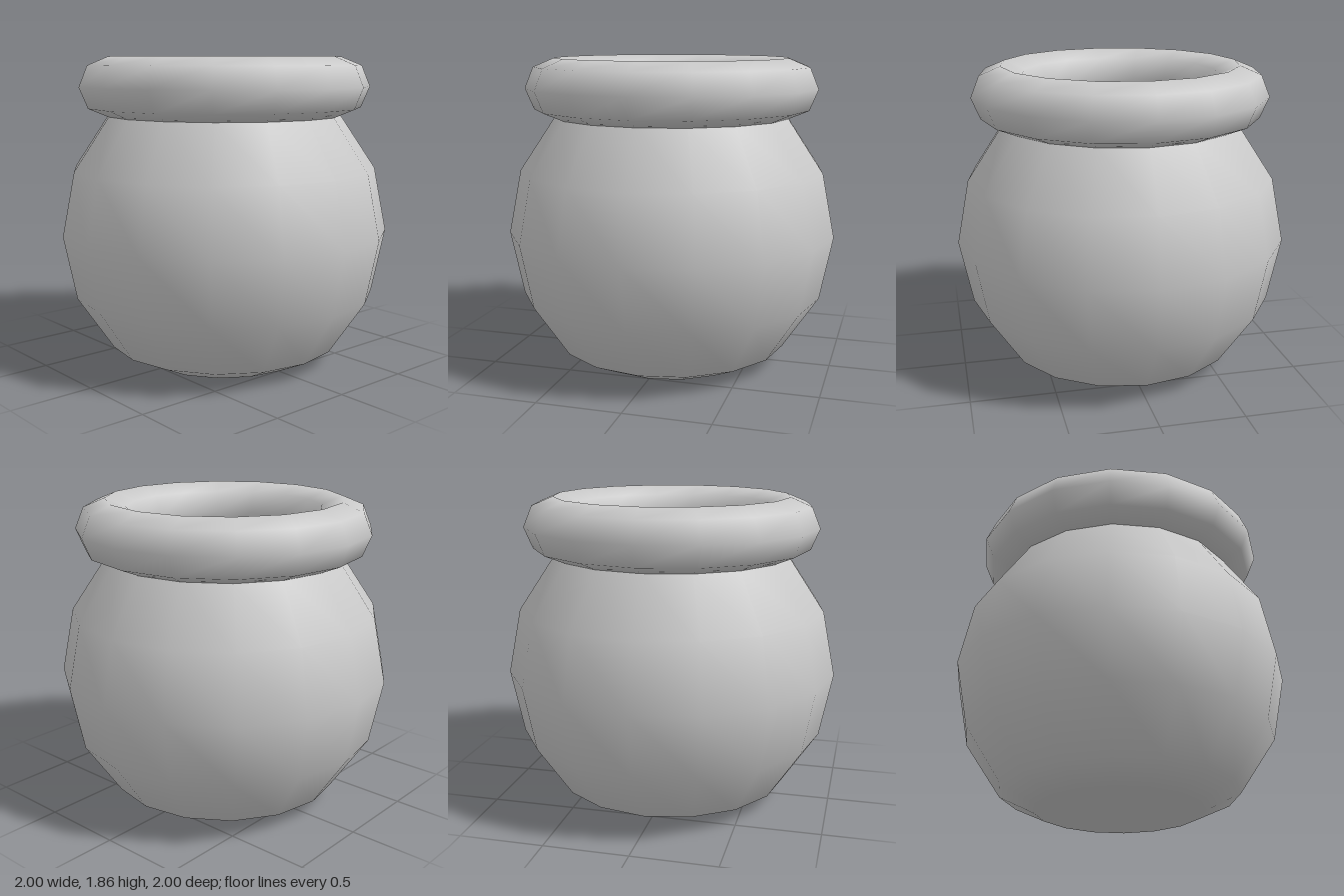
import * as THREE from 'three';

const SIDES = 16;
const CENTRE_Y = 0.805; // height of the widest ring
const NECK = Math.SQRT1_2; // radius where the body meets the rim

export function createModel() {
  const group = new THREE.Group();
  const material = new THREE.MeshStandardMaterial({ color: 0xcccccc });

  function add(name, geometry, y = 0) {
    const mesh = new THREE.Mesh(geometry, material);
    mesh.name = name;
    mesh.position.y = y;
    group.add(mesh);
    return mesh;
  }

  // Round body: a sphere profile cut at the neck, with a flat base
  const profile = [new THREE.Vector2(0, 0), new THREE.Vector2(0.5, 0)];
  for (let i = -2; i <= 2; i++) {
    const a = (i * Math.PI) / 8;
    profile.push(new THREE.Vector2(Math.cos(a), CENTRE_Y + Math.sin(a)));
  }
  const body = new THREE.LatheGeometry(profile, SIDES);
  // Keep the base evenly flat, blending softly into the wall
  const { position, normal } = body.attributes;
  for (let i = 0; i < position.count; i++) {
    if (position.getY(i) < 0.001) normal.setXYZ(i, 0, -1, 0);
  }
  add('potBody', body);

  // Flat surface closing the neck inside the rim
  const fill = new THREE.CircleGeometry(NECK, SIDES).rotateX(-Math.PI / 2);
  add('potFill', fill, CENTRE_Y + NECK);

  // Thick rolled rim
  const rim = new THREE.TorusGeometry(NECK, 0.177, 8, SIDES).rotateX(-Math.PI / 2);
  add('potRim', rim, 1.68);

  return group;
}
